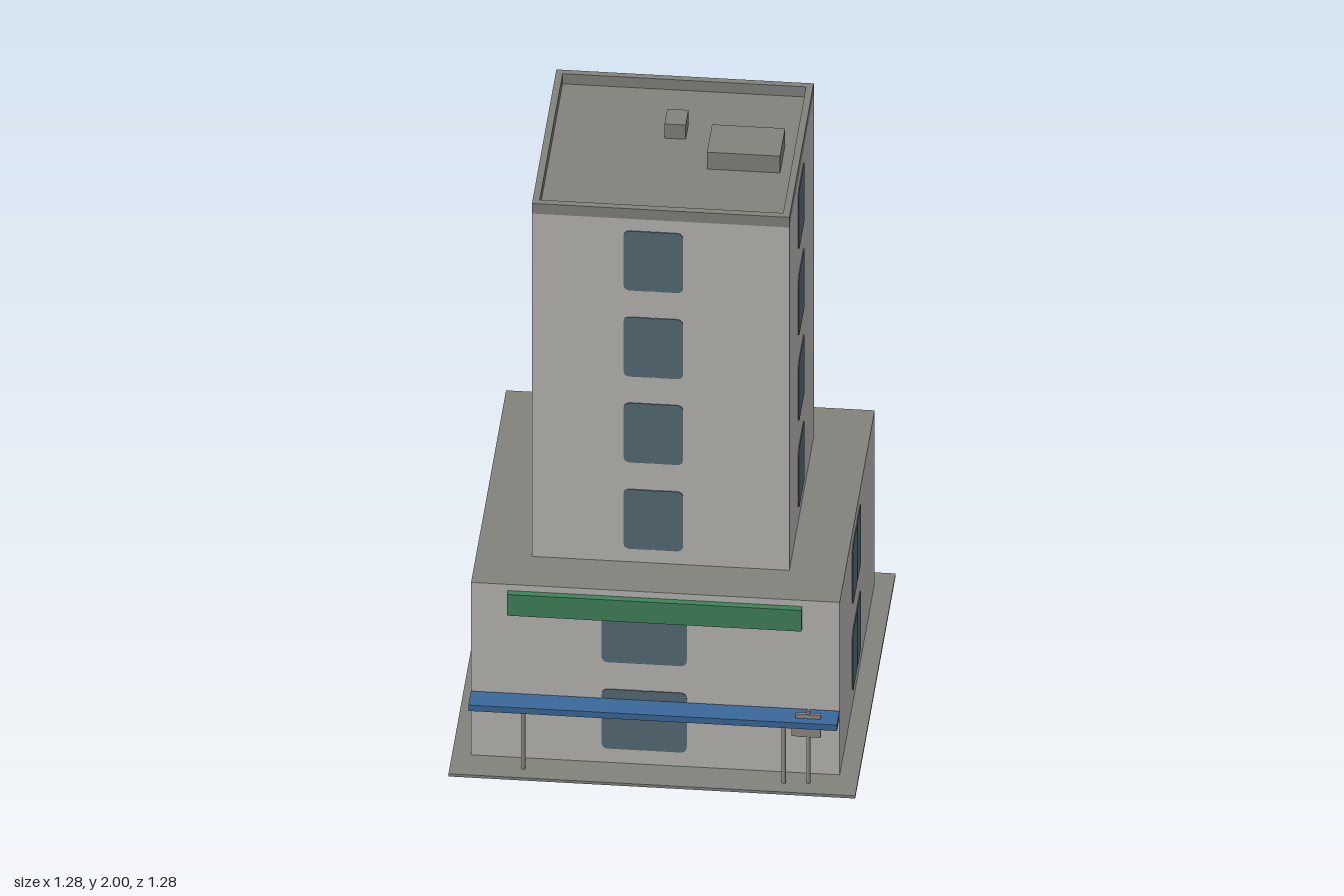
import * as THREE from 'three';

const mat = (name, color, extra = {}) => {
  const m = new THREE.MeshStandardMaterial({ color, ...extra });
  m.name = name;
  return m;
};

export function createModel() {
  const model = new THREE.Group();
  model.name = 'officeTower';

  const wall = mat('wallConcrete', 0xbab8b4);
  const roof = mat('roofGrey', 0x83837d);
  const glass = mat('windowGlass', 0x566b77);
  const green = mat('signGreen', 0x3f8359);
  const blue = mat('canopyBlue', 0x3a689a);
  const metal = mat('postMetal', 0x8e8b85);

  const add = (name, geometry, material, parent = model) => {
    const mesh = new THREE.Mesh(geometry, material);
    mesh.name = name;
    parent.add(mesh);
    return mesh;
  };

  // Box given by its limits on each axis
  const box = (name, [x0, x1], [y0, y1], [z0, z1], material) => {
    const mesh = add(name, new THREE.BoxGeometry(x1 - x0, y1 - y0, z1 - z0), material);
    mesh.position.set((x0 + x1) / 2, (y0 + y1) / 2, (z0 + z1) / 2);
    return mesh;
  };

  const pole = (name, x, z, height, radius) => {
    const mesh = add(name, new THREE.CylinderGeometry(radius, radius, height, 10), metal);
    mesh.position.set(x, height / 2, z);
  };

  // Ground slab and the two stacked volumes, with roof colour on their tops
  const capped = [wall, wall, roof, wall, wall, wall];
  box('groundSlab', [-0.64, 0.64], [0, 0.01], [-0.64, 0.64], roof);
  box('podium', [-0.58, 0.58], [0.01, 0.655], [-0.58, 0.525], capped);
  box('tower', [-0.405, 0.405], [0.655, 1.937], [-0.413, 0.358], capped);

  // Parapet: a rectangular ring around the tower roof
  const rect = (Type, x0, x1, z0, z1) => {
    const s = new Type();
    s.moveTo(x0, -z1);
    s.lineTo(x1, -z1);
    s.lineTo(x1, -z0);
    s.lineTo(x0, -z0);
    s.closePath();
    return s;
  };
  const ring = rect(THREE.Shape, -0.405, 0.405, -0.413, 0.358);
  ring.holes.push(rect(THREE.Path, -0.383, 0.383, -0.391, 0.335));
  const ringGeo = new THREE.ExtrudeGeometry(ring, { depth: 0.038, bevelEnabled: false });
  ringGeo.rotateX(-Math.PI / 2);
  add('parapet', ringGeo, roof).position.y = 1.937;

  // Rooftop plant
  box('roofUnitLarge', [0.115, 0.345], [1.937, 2], [-0.11, 0.05], roof);
  box('roofUnitSmall', [-0.035, 0.032], [1.937, 1.99], [-0.2, -0.113], roof);

  // Thin pane; outer corners round, inner corners slightly eased
  const paneGeometry = (w, h, outer, inner) => {
    const s = new THREE.Shape();
    s.moveTo(outer, -h / 2);
    s.lineTo(w - inner, -h / 2);
    s.quadraticCurveTo(w, -h / 2, w, -h / 2 + inner);
    s.lineTo(w, h / 2 - inner);
    s.quadraticCurveTo(w, h / 2, w - inner, h / 2);
    s.lineTo(outer, h / 2);
    s.quadraticCurveTo(0, h / 2, 0, h / 2 - outer);
    s.lineTo(0, -h / 2 + outer);
    s.quadraticCurveTo(0, -h / 2, outer, -h / 2);
    const g = new THREE.ExtrudeGeometry(s, { depth: 0.003, bevelEnabled: false, curveSegments: 4 });
    return g.translate(-w, 0, 0);
  };

  // Column of paired panes on one wall, facing +z before turning
  const windowColumn = (name, angle, centre, distance, offset, width, gap, heights) => {
    const column = new THREE.Group();
    column.name = name;
    const pane = paneGeometry((width - gap) / 2, 0.222, 0.022, 0.006);
    for (const y of heights) {
      for (const side of [0, 1]) {
        const mesh = add('windowPane', pane, glass, column);
        mesh.rotation.z = side * Math.PI;
        mesh.position.set(offset + (side ? gap / 2 : -gap / 2), y, distance + side * 0.0);
      }
    }
    column.position.z = centre;
    column.rotation.y = angle;
    model.add(column);
  };

  const volumes = [
    { name: 'podium', half: [0.58, 0.5525], z: -0.0275, offset: [-0.035, -0.031],
      width: [0.268, 0.256], gap: [0, 0.006], ys: [0.174, 0.497] },
    { name: 'tower', half: [0.405, 0.3855], z: -0.0275, offset: [-0.023, -0.021],
      width: [0.188, 0.182], gap: [0, 0], ys: [0.816, 1.139, 1.46, 1.782] },
  ];
  for (const v of volumes) {
    for (let i = 0; i < 4; i++) {
      const k = i % 2; // 0: front and back, 1: sides
      windowColumn(v.name + 'Windows', i * Math.PI / 2, v.z, v.half[1 - k], v.offset[k],
        v.width[k], v.gap[k], v.ys);
    }
  }

  // Front fascia board
  box('fasciaBoard', [-0.465, 0.462], [0.553, 0.632], [0.52, 0.548], green);

  // Canopy on two posts
  box('canopy', [-0.58, 0.58], [0.23, 0.252], [0.53, 0.611], blue);
  for (const x of [-0.41, 0.41]) pole('canopyPost', x, 0.585, 0.235, 0.007);

  // Stop sign post with plate
  pole('signPost', 0.487, 0.578, 0.28, 0.006);
  box('signPlate', [0.446, 0.526], [0.183, 0.267], [0.573, 0.584], metal);
  box('signBracket', [0.434, 0.446], [0.183, 0.225], [0.575, 0.582], metal);

  return model;
}
